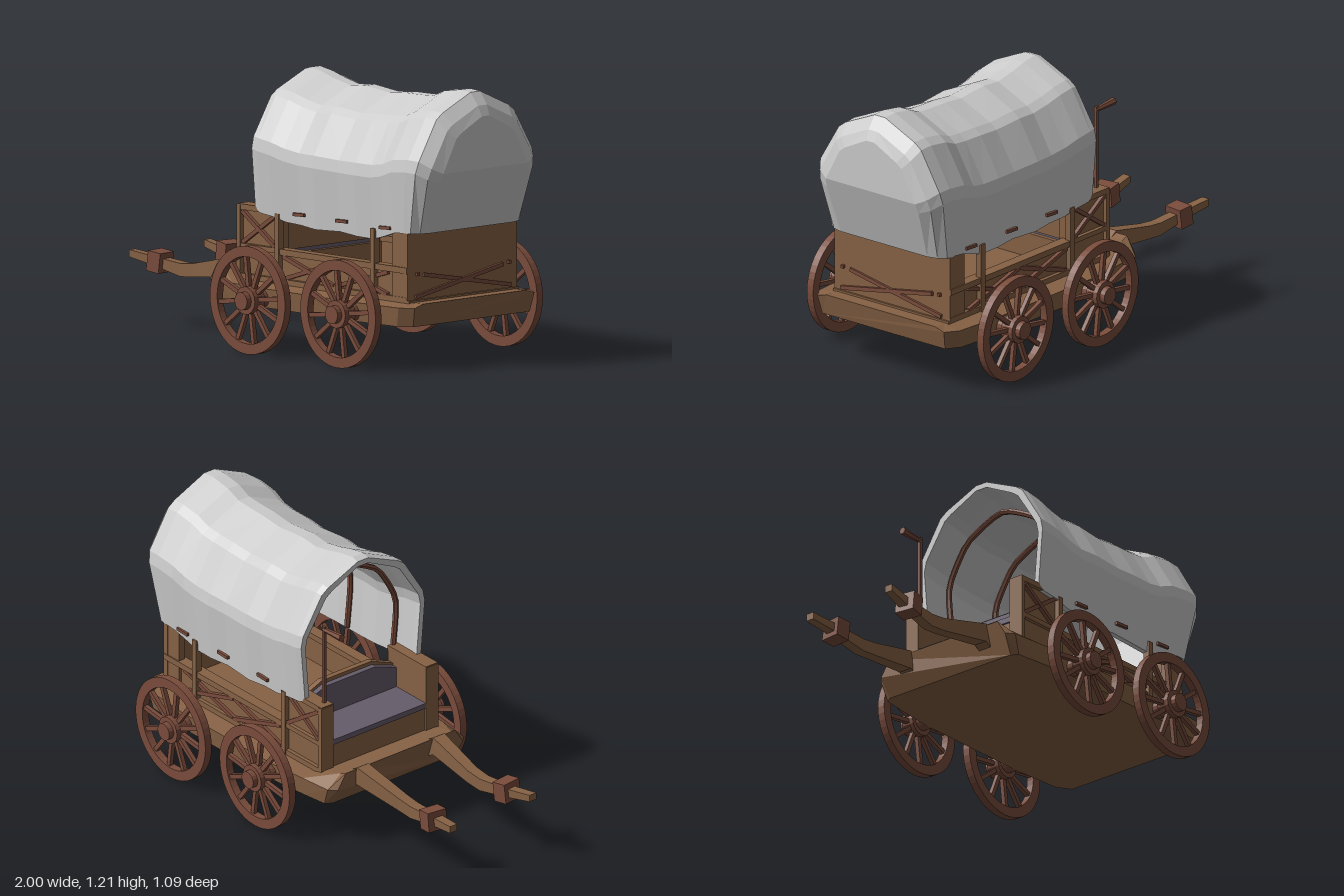
import * as THREE from 'three';

const mat = (color, extra = {}) => new THREE.MeshStandardMaterial({ color, flatShading: true, ...extra });
const wood = mat(0x876245);
const redWood = mat(0x7a4c3c);
const fabric = mat(0x665c6c);
const canvas = mat(0xcccccc, { side: THREE.DoubleSide });
const V = (x, y, z) => new THREE.Vector3(x, y, z);

function add(parent, name, geometry, material, x = 0, y = 0, z = 0) {
  const m = new THREE.Mesh(geometry, material);
  m.name = name;
  m.position.set(x, y, z);
  parent.add(m);
  return m;
}

// Box given by its minimum and maximum corners
function block(parent, name, material, x0, x1, y0, y1, z0, z1) {
  return add(parent, name, new THREE.BoxGeometry(x1 - x0, y1 - y0, Math.abs(z1 - z0)), material,
    (x0 + x1) / 2, (y0 + y1) / 2, (z0 + z1) / 2);
}

// Thin square bar between two points
function bar(parent, name, material, a, b, w = 0.018) {
  const m = add(parent, name, new THREE.BoxGeometry(w, w, a.distanceTo(b)), material);
  m.position.copy(a).add(b).multiplyScalar(0.5);
  m.lookAt(b);
}

function fromTriangles(points) {
  const g = new THREE.BufferGeometry().setFromPoints(points);
  g.computeVertexNormals();
  return g;
}

// Skin triangles over closed rings that run towards +x, each counterclockwise seen from +x;
// the diagonals mirror across z = 0
function skin(rings) {
  const p = [];
  const n = rings[0].length;
  for (let i = 0; i + 1 < rings.length; i++) {
    for (let k = 0; k < n; k++) {
      const [a, b] = [rings[i][k], rings[i][(k + 1) % n]];
      const [c, d] = [rings[i + 1][(k + 1) % n], rings[i + 1][k]];
      if (a.z + b.z > 0) p.push(a, b, c, a, c, d);
      else p.push(a, b, d, b, c, d);
    }
  }
  return p;
}

// Skin with both ends closed
function solid(rings) {
  const p = skin(rings);
  const [s, e] = [rings[0], rings[rings.length - 1]];
  for (let k = 1; k + 1 < s.length; k++) p.push(s[0], s[k + 1], s[k], e[0], e[k], e[k + 1]);
  return fromTriangles(p);
}

function makeBed(g) {
  // [x bottom, x top, y top of the middle, half width]; the front edge turns up as a footboard
  const stations = [[-0.32, -0.368, 0.355, 0.355], [-0.3, -0.335, 0.342, 0.385], [-0.18, -0.18, 0.298, 0.4],
    [0, 0, 0.298, 0.418], [0.62, 0.62, 0.298, 0.418], [0.85, 0.87, 0.298, 0.4], [0.91, 0.93, 0.3, 0.36]];
  const rings = stations.map(([xb, xt, y, w]) => [V(xb, 0.2, w - 0.01), V(xb, 0.2, 0.01 - w),
    V(xt, 0.285, -w), V(xt, y, -0.31), V(xt, y, 0.31), V(xt, 0.285, w)]);
  add(g, 'bed', solid(rings), wood);
}

function makeShaft(g, s) {
  // [x, y centre, height, z centre, width]
  const path = [[-1, 0.315, 0.032, 0.225, 0.04], [-0.87, 0.295, 0.04, 0.207, 0.045], [-0.7, 0.27, 0.058, 0.197, 0.05],
    [-0.62, 0.277, 0.06, 0.197, 0.052], [-0.37, 0.32, 0.085, 0.215, 0.065], [-0.3, 0.28, 0.08, 0.215, 0.065]];
  const rings = path.map(([x, y, h, z, w]) =>
    [[-1, 1], [-1, -1], [1, -1], [1, 1]].map(([u, v]) => V(x, y + (u * h) / 2, s * z + (v * w) / 2)));
  add(g, 'shaft', solid(rings), wood);
  const collar = add(g, 'shaftCollar', new THREE.BoxGeometry(0.07, 0.09, 0.095), redWood, -0.842, 0.294, s * 0.208);
  collar.rotation.set(0, s * 0.12, -0.13);
}

function makeBody(g) {
  block(g, 'bodyFloor', wood, -0.21, 0.85, 0.27, 0.31, -0.32, 0.32);
  for (const s of [1, -1]) {
    block(g, 'sidePanel', wood, 0.02, 0.84, 0.29, 0.44, s * 0.29, s * 0.312);
    block(g, 'topRail', wood, 0.02, 0.85, 0.425, 0.452, s * 0.28, s * 0.332);
    block(g, 'bottomRail', wood, -0.22, 0.85, 0.29, 0.32, s * 0.3, s * 0.33);
    block(g, 'rearCorner', wood, 0.75, 0.84, 0.3, 0.605, s * 0.295, s * 0.326);
    for (const x of [0.03, 0.635]) block(g, 'sidePost', wood, x - 0.014, x + 0.014, 0.29, 0.605, s * 0.305, s * 0.336);
    // Seat end with its frame and crossed bars
    block(g, 'seatEnd', wood, -0.225, 0.035, 0.3, 0.62, s * 0.265, s * 0.312);
    block(g, 'seatEndRail', wood, -0.225, 0.035, 0.6, 0.625, s * 0.262, s * 0.33);
    block(g, 'seatEndRail', wood, -0.225, 0.035, 0.43, 0.452, s * 0.3, s * 0.33);
    block(g, 'seatEndPost', wood, -0.228, -0.205, 0.3, 0.62, s * 0.262, s * 0.331);
    const crosses = [[-0.2, 0.01, 0.455, 0.595], [0.06, 0.38, 0.32, 0.42], [0.38, 0.72, 0.32, 0.42]];
    for (const [x0, x1, y0, y1] of crosses) {
      bar(g, 'sideBrace', redWood, V(x0, y0, s * 0.317), V(x1, y1, s * 0.317));
      bar(g, 'sideBrace', redWood, V(x0, y1, s * 0.321), V(x1, y0, s * 0.321));
    }
    bar(g, 'tailBrace', redWood, V(0.855, 0.32, s * 0.285), V(0.855 + s * 0.003, 0.415, s * -0.235));
    bar(g, 'tailPin', redWood, V(0.845, 0.42, s * 0.275), V(0.866, 0.42, s * 0.275), 0.014);
  }
  block(g, 'tailboard', wood, 0.825, 0.852, 0.3, 0.61, -0.328, 0.328);
  block(g, 'tailSill', wood, 0.83, 0.862, 0.285, 0.307, -0.33, 0.33);
  // Driver's bench
  block(g, 'seatBox', wood, -0.215, 0.02, 0.3, 0.42, -0.265, 0.265);
  block(g, 'seatCushion', fabric, -0.225, 0.0, 0.42, 0.445, -0.262, 0.262);
  const back = new THREE.Shape();
  back.moveTo(-0.262, 0).lineTo(0.262, 0).lineTo(0.262, 0.1).lineTo(0.14, 0.145).lineTo(-0.14, 0.145).lineTo(-0.262, 0.1);
  const backGeo = new THREE.ExtrudeGeometry(back, { depth: 0.025, bevelEnabled: false }).rotateY(Math.PI / 2);
  add(g, 'seatBackPad', backGeo, fabric, -0.025, 0.44, 0);
  add(g, 'seatBack', backGeo.clone().scale(1, 1.12, 1), wood, 0.0, 0.44, 0);
}

function makeWheel(g, x, s) {
  const w = new THREE.Group();
  w.name = 'wheel';
  w.position.set(x, 0.24, s * 0.485);
  const rim = new THREE.Shape().absarc(0, 0, 0.238, 0, Math.PI * 2);
  rim.holes.push(new THREE.Path().absarc(0, 0, 0.192, 0, Math.PI * 2, true));
  add(w, 'rim', new THREE.ExtrudeGeometry(rim, { depth: 0.036, bevelEnabled: false, curveSegments: 24 }), redWood, 0, 0, -0.018);
  const drum = (name, r, z0, z1) => add(w, name,
    new THREE.CylinderGeometry(r, r, z1 - z0, 16).rotateX(Math.PI / 2), redWood, 0, 0, s * (z0 + z1) / 2);
  drum('hub', 0.062, -0.03, 0.032);
  drum('hubCap', 0.04, 0.032, 0.058);
  drum('axle', 0.04, -0.1, -0.03);
  for (let i = 0; i < 12; i++) {
    const a = (i * Math.PI) / 6 + 0.13;
    const spoke = add(w, 'spoke', new THREE.BoxGeometry(0.16, 0.02, 0.02), redWood, Math.cos(a) * 0.125, Math.sin(a) * 0.125, 0);
    spoke.rotation.z = a;
  }
  g.add(w);
}

function makeCover(g) {
  // Half arch: [half width, height fraction]
  const half = [[0.332, 0], [0.354, 0.45], [0.343, 0.54], [0.237, 0.83], [0.2, 0.875], [0.03, 1]];
  const arch = [...half, ...half.slice().reverse().map(([z, t]) => [-z, t])];
  const n = arch.length;
  // [x, top, bottom, width scale]
  const stations = [[-0.112, 1.2, 0.62, 0.99], [-0.08, 1.21, 0.598, 1], [0, 1.197, 0.59, 1], [0.08, 1.175, 0.573, 0.985],
    [0.17, 1.157, 0.568, 0.97], [0.27, 1.165, 0.56, 0.99], [0.42, 1.15, 0.566, 0.97], [0.53, 1.16, 0.558, 0.985],
    [0.63, 1.162, 0.556, 0.975], [0.7, 1.166, 0.575, 0.98], [0.77, 1.195, 0.598, 1], [0.87, 1.21, 0.603, 1],
    [0.935, 1.205, 0.603, 0.99], [0.98, 1.15, 0.603, 0.89], [1, 1.105, 0.603, 0.74]];
  // Outer arch, then the inner arch back; the lower rear edge is drawn forward
  const rings = stations.map(([x, top, bot, k]) => {
    const lean = Math.max(0, x - 0.77) * 0.4;
    const at = (inset, dx) => arch.map(([z, t]) => V(x - dx - lean * Math.max(0, 1 - t / 0.54),
      bot + t * (top - inset - bot), z * k - (Math.abs(z) > 0.1 ? Math.sign(z) * inset : 0)));
    return [...at(0, 0).reverse(), ...at(0.025, x > 0.95 ? 0.02 : 0)];
  });
  const p = skin(rings);
  const [first, last] = [rings[0], rings[rings.length - 1]];
  const strip = (a, b, c, d) => p.push(a, b, c, a, c, d);
  // Front lip
  for (let k = 0; k + 1 < n; k++) strip(first[k], first[2 * n - 1 - k], first[2 * n - 2 - k], first[k + 1]);
  // Closed rear end
  for (let k = 0; k < n / 2 - 1; k++) strip(last[k], last[k + 1], last[n - 2 - k], last[n - 1 - k]);
  add(g, 'canvasCover', fromTriangles(p), canvas);

  // Wooden hoops under the cover
  for (const x of [0.03, 0.34, 0.635]) {
    const pts = arch.map(([z, t]) => V(x, 0.58 + t * 0.53, z * 0.86));
    const curve = new THREE.CatmullRomCurve3(pts, false, 'centripetal');
    add(g, 'hoop', new THREE.TubeGeometry(curve, 28, 0.013, 6), redWood);
  }
  // Tie pegs
  for (const s of [1, -1]) {
    for (const x of [0.17, 0.44, 0.715]) {
      bar(g, 'tiePeg', redWood, V(x - 0.035, 0.614, s * 0.333), V(x + 0.035, 0.617, s * 0.333), 0.014);
    }
  }
}

function makeBrake(g) {
  bar(g, 'brakeLever', redWood, V(-0.19, 0.45, -0.284), V(-0.19, 1.0, -0.284), 0.015);
  const handle = add(g, 'brakeHandle', new THREE.CylinderGeometry(0.017, 0.01, 0.125, 6), redWood, -0.247, 0.988, -0.284);
  handle.rotation.z = Math.PI / 2 - 0.06;
}

export function createModel() {
  const g = new THREE.Group();
  g.name = 'coveredWagon';
  makeBed(g);
  makeBody(g);
  for (const s of [1, -1]) {
    makeShaft(g, s);
    for (const x of [0.022, 0.595]) makeWheel(g, x, s);
  }
  makeCover(g);
  makeBrake(g);
  return g;
}
